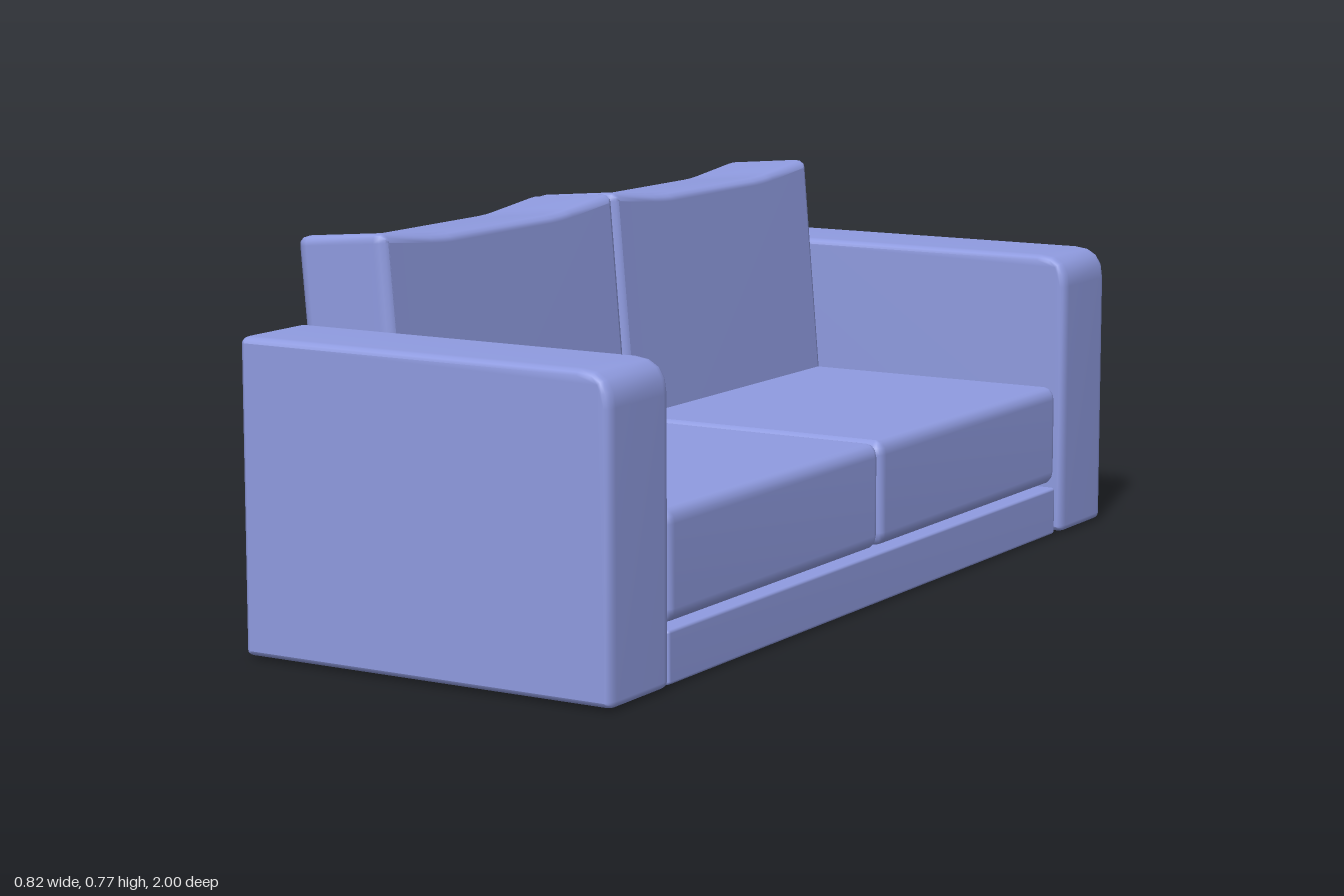
import * as THREE from 'three';
import { mergeVertices } from 'three/addons/utils/BufferGeometryUtils.js';

const fabric = new THREE.MeshStandardMaterial({ color: 0x8f9be0 });

// Closed outline from [x, y, cornerRadius] points
function outline(points) {
  const shape = new THREE.Shape();
  const n = points.length;
  points.forEach(([x, y, r], i) => {
    const corner = new THREE.Vector2(x, y);
    const toward = ([px, py]) =>
      new THREE.Vector2(px - x, py - y).setLength(r).add(corner);
    const a = toward(points[(i + n - 1) % n]);
    const b = toward(points[(i + 1) % n]);
    if (i === 0) shape.moveTo(a.x, a.y);
    else shape.lineTo(a.x, a.y);
    shape.quadraticCurveTo(x, y, b.x, b.y);
  });
  shape.closePath();
  return shape;
}

function rectangle(x0, y0, x1, y1, r) {
  return [[x0, y0, r], [x1, y0, r], [x1, y1, r], [x0, y1, r]];
}

// Padded slab: outline extruded from 0 to depth with soft edges kept inside it
function padded(points, depth, edge, inset) {
  const extruded = new THREE.ExtrudeGeometry(outline(points), {
    depth: depth - 2 * edge,
    bevelThickness: edge,
    bevelSize: inset,
    bevelOffset: -inset,
    bevelSegments: 3,
    curveSegments: 4,
  });
  extruded.translate(0, 0, edge);
  extruded.deleteAttribute('normal');
  extruded.deleteAttribute('uv');
  // Shared vertices give area-weighted normals: flat panels, soft edges
  const geometry = mergeVertices(extruded, 1e-5);
  geometry.computeVertexNormals();
  return geometry;
}

function addMesh(parent, name, geometry) {
  const mesh = new THREE.Mesh(geometry, fabric);
  mesh.name = name;
  parent.add(mesh);
  return mesh;
}

export function createModel() {
  const sofa = new THREE.Group();
  sofa.name = 'sofa';

  // Base under the seats
  const base = padded(rectangle(-0.18, -0.79, 0.4, 0.79, 0.008), 0.1, 0.006, 0.006);
  base.rotateX(-Math.PI / 2);
  addMesh(sofa, 'base', base).position.y = 0.005;

  // Armrest side profile with a rounded front top corner
  const arm = padded(
    [[-0.385, 0.006, 0.013], [0.41, 0.006, 0.013], [0.41, 0.6, 0.065], [-0.385, 0.6, 0.013]],
    0.2, 0.022, 0.011);
  arm.translate(0, 0, -0.1);

  // Seat cushion, lying flat
  const seat = padded(rectangle(-0.19, -0.394, 0.4, 0.394, 0.022), 0.208, 0.027, 0.02);
  seat.rotateX(-Math.PI / 2);

  // Back cushion with a dipped top edge
  const back = padded(
    [[-0.395, 0, 0.02], [0.395, 0, 0.02], [0.395, 0.764, 0.02],
      [0.2, 0.743, 0.04], [-0.2, 0.743, 0.04], [-0.395, 0.764, 0.02]],
    0.2, 0.023, 0.018);
  back.rotateY(Math.PI / 2);

  for (const [label, side] of [['right', 1], ['left', -1]]) {
    addMesh(sofa, `${label}Armrest`, arm).position.z = side * 0.9;
    addMesh(sofa, `${label}SeatCushion`, seat).position.set(0, 0.115, side * 0.396);
    const backCushion = addMesh(sofa, `${label}BackCushion`, back);
    backCushion.position.set(-0.345, 0, side * 0.396);
    backCushion.rotation.z = 0.087;
  }
  return sofa;
}
